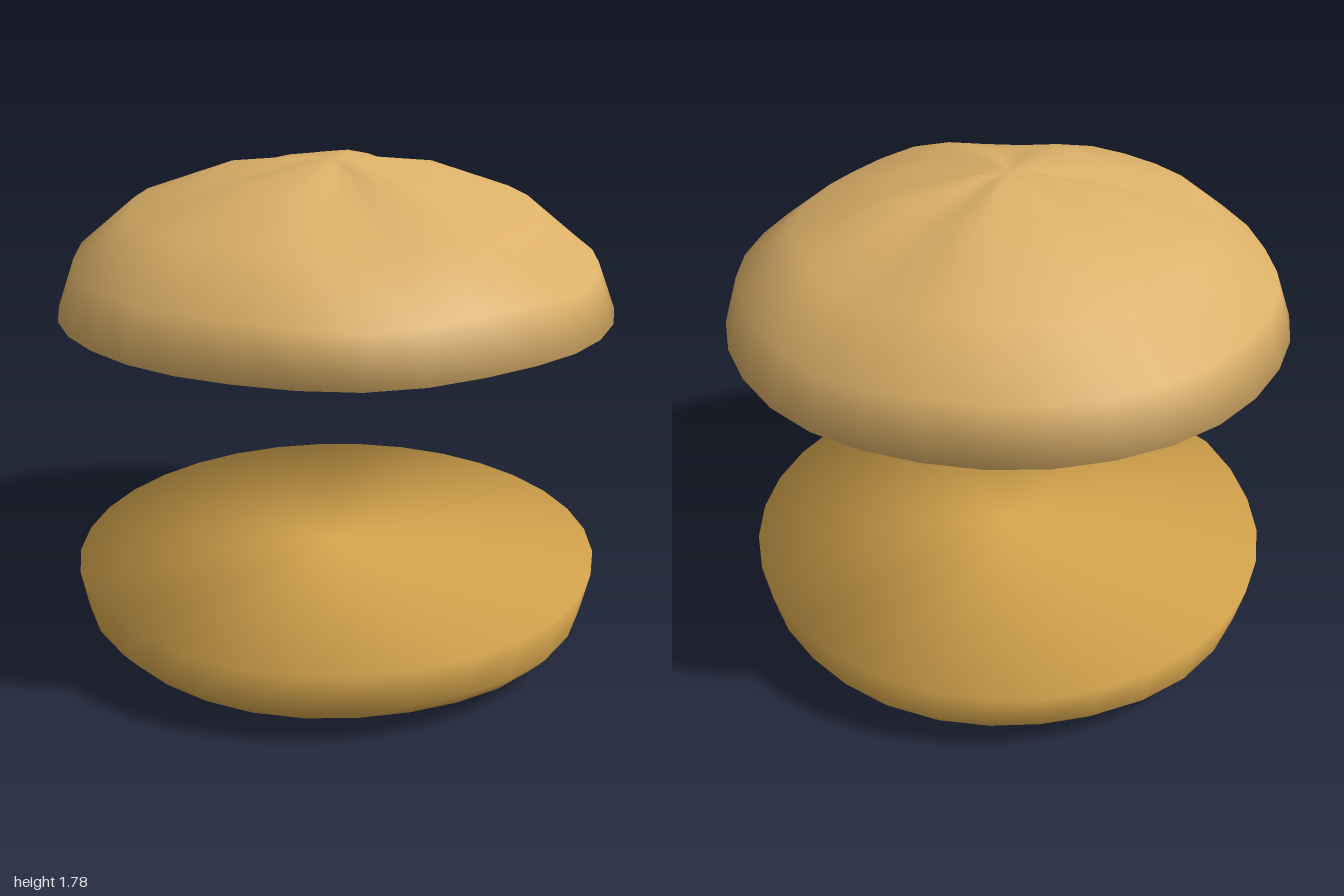
import * as THREE from 'three';

const SIDES = 32;

// Closed bun half: rings from the pole to the rim, then a flat cut face.
// The rim shares its normals with the cut, so the edge shades softly.
function bunHalf(name, color, poleY, profile, up, shift) {
  const pos = [0, poleY, 0];
  const index = [];
  const tri = (a, b, c) => (up > 0 ? index.push(a, b, c) : index.push(a, c, b));
  const at = (k, j) => 1 + k * SIDES + (j % SIDES);

  profile.forEach(([r, y], k) => {
    for (let j = 0; j < SIDES; j++) {
      const a = (j / SIDES) * Math.PI * 2;
      const [dr, dy] = shift(a, k);
      pos.push(Math.cos(a) * (r + dr), y + dy, Math.sin(a) * (r + dr));
    }
  });
  const last = profile.length - 1;
  const centre = pos.length / 3;
  pos.push(0, profile[last][1], 0);

  for (let j = 0; j < SIDES; j++) {
    tri(0, at(0, j + 1), at(0, j));
    for (let k = 0; k < last; k++) {
      tri(at(k, j), at(k, j + 1), at(k + 1, j));
      tri(at(k, j + 1), at(k + 1, j + 1), at(k + 1, j));
    }
    tri(centre, at(last, j), at(last, j + 1));
  }

  const geo = new THREE.BufferGeometry();
  geo.setAttribute('position', new THREE.Float32BufferAttribute(pos, 3));
  geo.setIndex(index);
  geo.computeVertexNormals();
  const normal = geo.attributes.normal;
  for (let j = 0; j < SIDES; j++) {
    const a = (j / SIDES) * Math.PI * 2;
    normal.setXYZ(at(last, j), Math.cos(a) * 0.95, -up * 0.3, Math.sin(a) * 0.95);
  }
  normal.setXYZ(centre, 0, -up * 0.3, 0);

  const mesh = new THREE.Mesh(geo, new THREE.MeshStandardMaterial({ color }));
  mesh.name = name;
  return mesh;
}

export function createModel() {
  const model = new THREE.Group();
  model.name = 'bun';

  // Domed top with soft radial folds and a lower front
  const topProfile = [[0.1, 1.77], [0.39, 1.72], [0.73, 1.6], [0.935, 1.435], [0.995, 1.262]];
  const topFold = [0.006, 0.018, 0.018, 0.012, 0.006];
  model.add(bunHalf('topBun', 0xdcb068, 1.77, topProfile, 1, (a, k) => {
    const wave = 0.7 * Math.sin(5 * a + 1) + 0.4 * Math.sin(8 * a + 2.2);
    const lean = k < 4 ? -Math.sin(a) * 0.6 : 0;
    return [k < 4 ? 0.008 * Math.sin(7 * a) * (k / 4) : 0, topFold[k] * (wave + lean)];
  }));

  // Shallow base, its rim raised at one spot on the right side
  const baseProfile = [[0.4, 0.017], [0.79, 0.035], [0.9, 0.08], [0.95, 0.14], [0.982, 0.295]];
  model.add(bunHalf('bottomBun', 0xdba94f, 0, baseProfile, -1, (a, k) => {
    if (k < 4) return [0.008 * Math.sin(6 * a + 1) * (k / 4), 0.006 * Math.sin(4 * a) * (k > 0 ? 1 : 0)];
    const bump = 0.032 * Math.exp(-(((a - 2.94) / 0.25) ** 2));
    return [0, bump + 0.007 * Math.cos(a)];
  }));

  return model;
}
